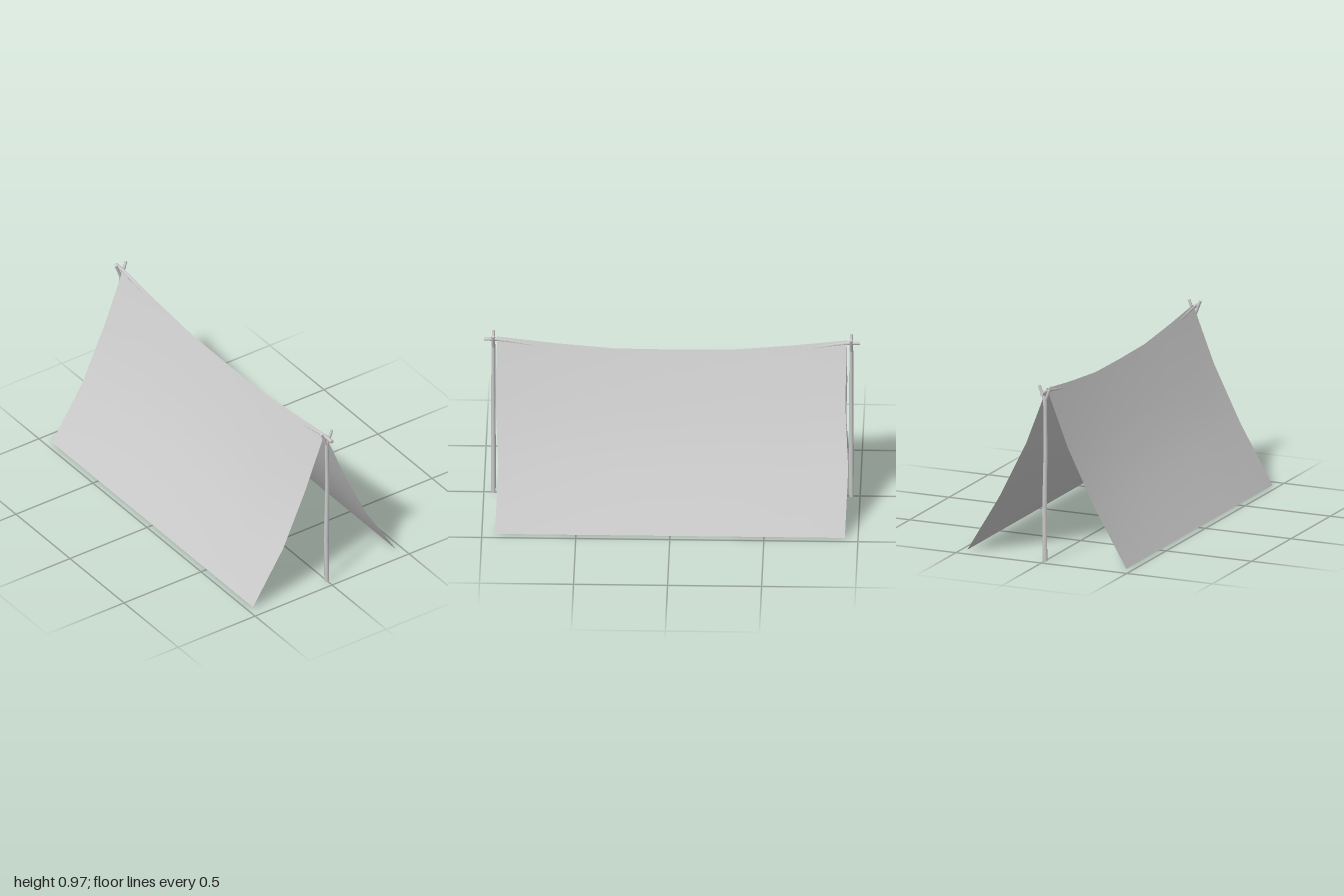
import * as THREE from 'three';

const grey = new THREE.MeshStandardMaterial({ color: 0xcccccc });
const cloth = new THREE.MeshStandardMaterial({ color: 0xcccccc, side: THREE.DoubleSide });

const HALF = 0.93;
// Droop of the ridge below its ends, at |x| = 0, 1/3, 2/3 and 1 of the half length
const DROOP = [0.067, 0.064, 0.036, 0];
const SEGMENTS = 6;

// Cross-section of one cloth side from ridge to hem: distance out, height,
// share of the droop, and the sideways waver of the back and front cloth
const ROWS = [
  { z: 0, y: 0.945, droop: 1, back: 0, front: 0 },
  { z: 0.122, y: 0.632, droop: 0.7, back: 0.006, front: 0.001 },
  { z: 0.275, y: 0.315, droop: 0.35, back: -0.013, front: 0.01 },
  { z: 0.465, y: 0.003, droop: 0, back: 0, front: 0 },
];

function mesh(name, geometry, material = grey) {
  const m = new THREE.Mesh(geometry, material);
  m.name = name;
  return m;
}

// One sloping cloth side; side is +1 for front, -1 for back
function clothPanel(name, side) {
  const g = new THREE.PlaneGeometry(2 * HALF, 1, SEGMENTS, ROWS.length - 1);
  const p = g.attributes.position;
  for (let r = 0, i = 0; r < ROWS.length; r++) {
    const row = ROWS[r];
    for (let c = 0; c <= SEGMENTS; c++, i++) {
      const x = side * (-HALF + (2 * HALF * c) / SEGMENTS);
      const drop = DROOP[Math.abs(c - SEGMENTS / 2)] * row.droop;
      const shift = side > 0 ? row.front : row.back;
      p.setXYZ(i, x + shift, row.y - drop, side * row.z);
    }
  }
  g.computeVertexNormals();
  return mesh(name, g, cloth);
}

// Straight tapered stick between two points
function stick(name, a, b, r0, r1) {
  const dir = b.clone().sub(a);
  const m = mesh(name, new THREE.CylinderGeometry(r1, r0, dir.length(), 8));
  m.position.copy(a).add(b).multiplyScalar(0.5);
  m.quaternion.setFromUnitVectors(new THREE.Vector3(0, 1, 0), dir.normalize());
  return m;
}

// Slightly crooked upright with a forked top
function forkedPost(name, x, bend) {
  const post = new THREE.Group();
  post.name = name;
  const profile = [[0, 0], [0.013, 0], [0.0135, 0.28], [0.011, 0.62], [0.0105, 0.9], [0, 0.9]]
    .map(([r, y]) => new THREE.Vector2(r, y));
  const g = new THREE.LatheGeometry(profile, 8);
  const p = g.attributes.position;
  for (let i = 0; i < p.count; i++) {
    p.setZ(i, p.getZ(i) + bend * Math.sin((p.getY(i) / 0.9) * Math.PI * 2));
  }
  g.computeVertexNormals();
  const trunk = mesh('trunk', g);
  trunk.position.x = x;
  post.add(trunk);
  for (const s of [-1, 1]) {
    post.add(stick('prong', new THREE.Vector3(x, 0.88, 0),
      new THREE.Vector3(x, 0.964, s * 0.034), 0.009, 0.0075));
  }
  return post;
}

export function createModel() {
  const tent = new THREE.Group();
  tent.name = 'tent';

  tent.add(clothPanel('frontCloth', 1), clothPanel('backCloth', -1));
  tent.add(forkedPost('leftPost', 0.95, 0.003), forkedPost('rightPost', -0.953, -0.003));

  // Ridge pole hanging just under the cloth
  const path = [[-1, 0.93], [-0.93, 0.929], [-0.62, 0.878], [-0.31, 0.85], [0, 0.847],
    [0.31, 0.85], [0.62, 0.878], [0.93, 0.929], [1, 0.93]]
    .map(([x, y]) => new THREE.Vector3(x, y, 0));
  tent.add(mesh('ridgePole',
    new THREE.TubeGeometry(new THREE.CatmullRomCurve3(path), 32, 0.01, 8)));

  // Closed ends of the ridge pole
  for (const s of [-1, 1]) {
    const cap = mesh('ridgePoleEnd', new THREE.CircleGeometry(0.01, 8));
    cap.position.set(s, 0.93, 0);
    cap.rotation.y = (s * Math.PI) / 2;
    tent.add(cap);
  }
  return tent;
}
